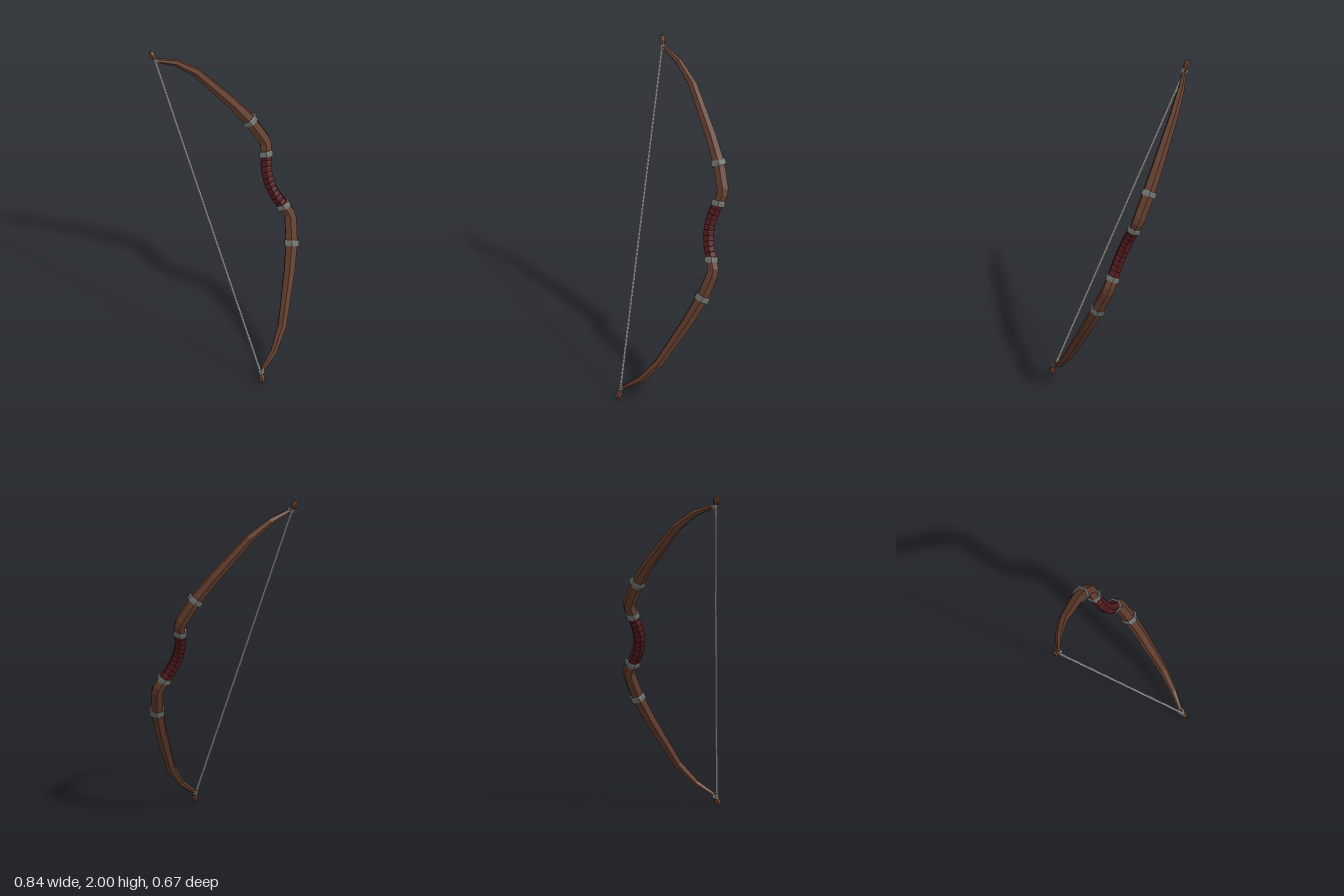
import * as THREE from 'three';

const SIDES = 6;

// Sweeps a hexagon through [along, depth, radius] points lying in the bow's plane.
function sweep(points) {
  const pos = [], index = [], last = points.length - 1;
  points.forEach(([s, t, r], i) => {
    const a = points[Math.max(i - 1, 0)], b = points[Math.min(i + 1, last)];
    const len = Math.hypot(b[0] - a[0], b[1] - a[1]);
    const ts = (b[0] - a[0]) / len, tt = (b[1] - a[1]) / len;
    for (let k = 0; k < SIDES; k++) {
      const ang = Math.PI / 2 + (k / SIDES) * Math.PI * 2;
      const n = r * Math.sin(ang);
      pos.push(r * Math.cos(ang), s + tt * n, t - ts * n);
    }
  });
  for (let i = 0; i < last; i++) {
    for (let k = 0; k < SIDES; k++) {
      const a = i * SIDES + k, b = i * SIDES + (k + 1) % SIDES;
      index.push(a, b, b + SIDES, a, b + SIDES, a + SIDES);
    }
  }
  // End caps
  const e = last * SIDES;
  for (let k = 1; k < SIDES - 1; k++) index.push(0, k + 1, k, e, e + k, e + k + 1);
  const geo = new THREE.BufferGeometry();
  geo.setAttribute('position', new THREE.Float32BufferAttribute(pos, 3));
  geo.setIndex(index);
  const flat = geo.toNonIndexed();
  flat.computeVertexNormals();
  return flat;
}

// A short collar centred on a point and aligned with the limb direction.
function collar(s, t, ds, dt, radius, length) {
  const h = length / 2 / Math.hypot(ds, dt);
  const ring = (f, r) => [s + ds * h * f, t + dt * h * f, r];
  return sweep([ring(-1, radius * 0.93), ring(-0.6, radius), ring(0.6, radius), ring(1, radius * 0.93)]);
}

export function createModel() {
  const mat = (name, color) => {
    const m = new THREE.MeshStandardMaterial({ color, flatShading: true });
    m.name = name;
    return m;
  };
  const wood = mat('brown wood', 0x5f3b2b);
  const metal = mat('grey metal', 0x6d6f6c);
  const leather = mat('dark red leather', 0x4e181b);
  const cord = mat('pale cord', 0xc4c4c2);

  const bow = new THREE.Group();
  bow.name = 'bow';
  const add = (parent, name, geo, material) => {
    const m = new THREE.Mesh(geo, material);
    m.name = name;
    parent.add(m);
    return m;
  };

  // Two identical halves, one turned half a circle about the depth axis
  for (const [name, turn] of [['upper', 0], ['lower', Math.PI]]) {
    const half = new THREE.Group();
    half.name = name + 'Half';
    half.rotation.z = turn;
    add(half, name + 'Limb', sweep([
      [0.155, 0.502, 0.034], [0.225, 0.526, 0.038], [0.255, 0.524, 0.039], [0.4, 0.476, 0.039],
      [0.55, 0.4, 0.036], [0.83, 0.236, 0.028], [0.945, 0.126, 0.021], [1.012, 0.015, 0.013],
    ]), wood);
    add(half, name + 'Tip', sweep([
      [1.0, 0.012, 0.012], [1.03, 0.002, 0.013], [1.05, -0.004, 0.02],
      [1.066, -0.008, 0.019], [1.081, -0.01, 0.011],
    ]), wood);
    add(half, name + 'GripCollar', collar(0.169, 0.506, 1, 0.15, 0.046, 0.034), metal);
    add(half, name + 'LimbCollar', collar(0.4, 0.476, 1, -0.42, 0.05, 0.036), metal);
    // Cord loops wound round the nock
    for (const s of [1.008, 1.021]) {
      const loop = add(half, name + 'StringLoop', new THREE.TorusGeometry(0.016, 0.0045, 5, 10), cord);
      loop.position.set(0, s, 0.008);
      loop.rotation.x = Math.PI / 2 + 0.35;
    }
    bow.add(half);
  }

  // Grip wound with overlapping ridges
  const wraps = 10, reach = 0.162, path = [];
  const gripPoint = (f, r) => {
    const s = (f * 2 - 1) * reach;
    path.push([s, 0.465 + 0.04 * (s / reach) ** 2, r]);
  };
  for (let i = 0; i < wraps; i++) {
    gripPoint((i + 0.02) / wraps, 0.033);
    gripPoint((i + 0.2) / wraps, 0.036);
    gripPoint((i + 0.8) / wraps, 0.036);
  }
  gripPoint(1, 0.033);
  add(bow, 'grip', sweep(path), leather);

  // String between the nocks
  add(bow, 'string', new THREE.CylinderGeometry(0.0075, 0.0075, 2.03, 6), cord);

  // Lean the bow: its length runs along u, its belly points along d
  const u = new THREE.Vector3(-0.381, 0.923, 0.061).normalize();
  const d = new THREE.Vector3(0.068, 0.095, -0.993);
  d.addScaledVector(u, -d.dot(u)).normalize();
  const w = new THREE.Vector3().crossVectors(u, d);
  bow.quaternion.setFromRotationMatrix(new THREE.Matrix4().makeBasis(w, u, d));
  bow.position.set(0, 1.003, 0.243);

  const model = new THREE.Group();
  model.add(bow);
  return model;
}
